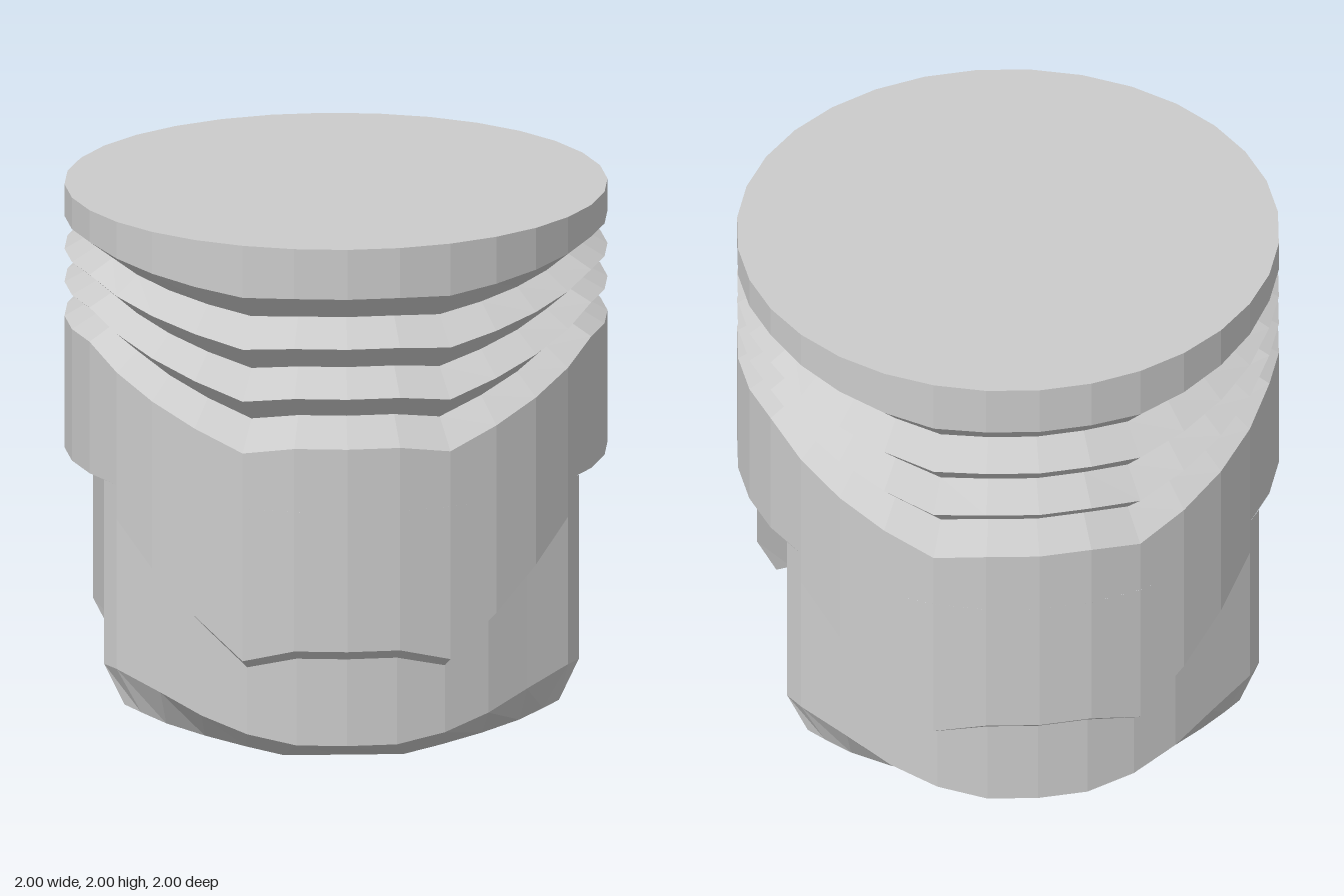
import * as THREE from 'three';

const material = new THREE.MeshStandardMaterial({ color: 0xcccccc, flatShading: true });
const rad = THREE.MathUtils.degToRad;
const lerp = THREE.MathUtils.lerp;

// Skin a list of columns, each a list of [x, y, z] running from top to bottom
function loft(name, columns) {
  const pos = [];
  for (let j = 0; j < columns.length - 1; j++) {
    const L = columns[j], R = columns[j + 1];
    for (let i = 0; i < L.length - 1; i++) {
      pos.push(...L[i], ...L[i + 1], ...R[i + 1], ...L[i], ...R[i + 1], ...R[i]);
    }
  }
  const g = new THREE.BufferGeometry();
  g.setAttribute('position', new THREE.Float32BufferAttribute(pos, 3));
  g.computeVertexNormals();
  const mesh = new THREE.Mesh(g, material);
  mesh.name = name;
  return mesh;
}

// How far the grooves have climbed: low at front and back, high at the sides
function climb(deg) {
  let a = Math.abs(deg) % 180;
  if (a > 90) a = 180 - a;
  if (a < 12) return 0;
  return Math.min(1, lerp(-0.115, 1, (a - 22.5) / 45));
}

// Crown, swept ring grooves and upper barrel
function makeCrown() {
  const front = [1.81, 1.72, 1.62, 1.53, 1.43, 1.345, 1.24];
  const side = [1.88, 1.81, 1.755, 1.68, 1.63, 1.555, 1.5];
  const columns = [];
  for (let j = 0; j <= 32; j++) {
    const deg = j * 11.25, w = climb(deg);
    const s = Math.sin(rad(deg)), c = Math.cos(rad(deg));
    const at = (r, y) => [r * s, y, r * c];
    const grooves = front.map((y, i) => at(i % 2 ? 0.906 : 1, lerp(y, side[i], w)));
    columns.push([at(0, 2), at(1, 2), ...grooves, at(1, 1), at(0, 1)]);
  }
  return loft('crownAndRingGrooves', columns);
}

// Skirt shell: outer step, chamfered rim and hollow inner wall
function makeSkirt(name) {
  // outer x, outer z, step height, step drop, step depth, rim height, inner rim x, y, z
  const stations = [
    [0, 1, 0.47, 0.04, 0.05, 0.1, 0, 0, 0.69],
    [0.195, 0.981, 0.47, 0.04, 0.05, 0.1, 0.22, 0, 0.69],
    [0.383, 0.924, 0.42, 0.035, 0.05, 0.13, 0.36, 0.03, 0.67],
    [0.556, 0.831, 0.57, 0.04, 0.05, 0.18, 0.51, 0.065, 0.64],
    [0.707, 0.707, 0.72, 0.04, 0.045, 0.24, 0.65, 0.1, 0.59],
    [0.831, 0.556, 0.87, 0.01, 0, 0.3, 0.74, 0.13, 0.54],
    [0.874, 0.48, 0.93, 0.01, 0, 0.3, 0.8, 0.15, 0.5],
  ];
  const column = ([x, z, stepY, drop, depth, rimY, fx, fy, fz], i) => {
    const k = 1 - depth;
    // The last station closes the shell against its outer edge
    const [ix, iz] = i === stations.length - 1 ? [x, z] : [fx, fz];
    return [
      [x, 1, z], [x, stepY, z], [x * k, stepY - drop, z * k], [x * k, rimY, z * k],
      [fx, fy, fz], [ix, 0.3, iz], [ix, 1, iz],
    ];
  };
  const left = stations.map(column);
  const right = left.slice(1).reverse().map((col) => col.map(([x, y, z]) => [-x, y, z]));
  return loft(name, [...right, ...left]);
}

export function createModel() {
  const model = new THREE.Group();
  model.name = 'piston';
  model.add(makeCrown());

  const backSkirt = makeSkirt('backSkirt');
  backSkirt.rotation.y = Math.PI;
  model.add(makeSkirt('frontSkirt'), backSkirt);

  // Wrist pin bridging the two skirts
  const pin = new THREE.Mesh(new THREE.CylinderGeometry(0.31, 0.31, 1.4, 32), material);
  pin.name = 'wristPin';
  pin.rotation.x = Math.PI / 2;
  pin.position.y = 0.44;
  model.add(pin);

  return model;
}
